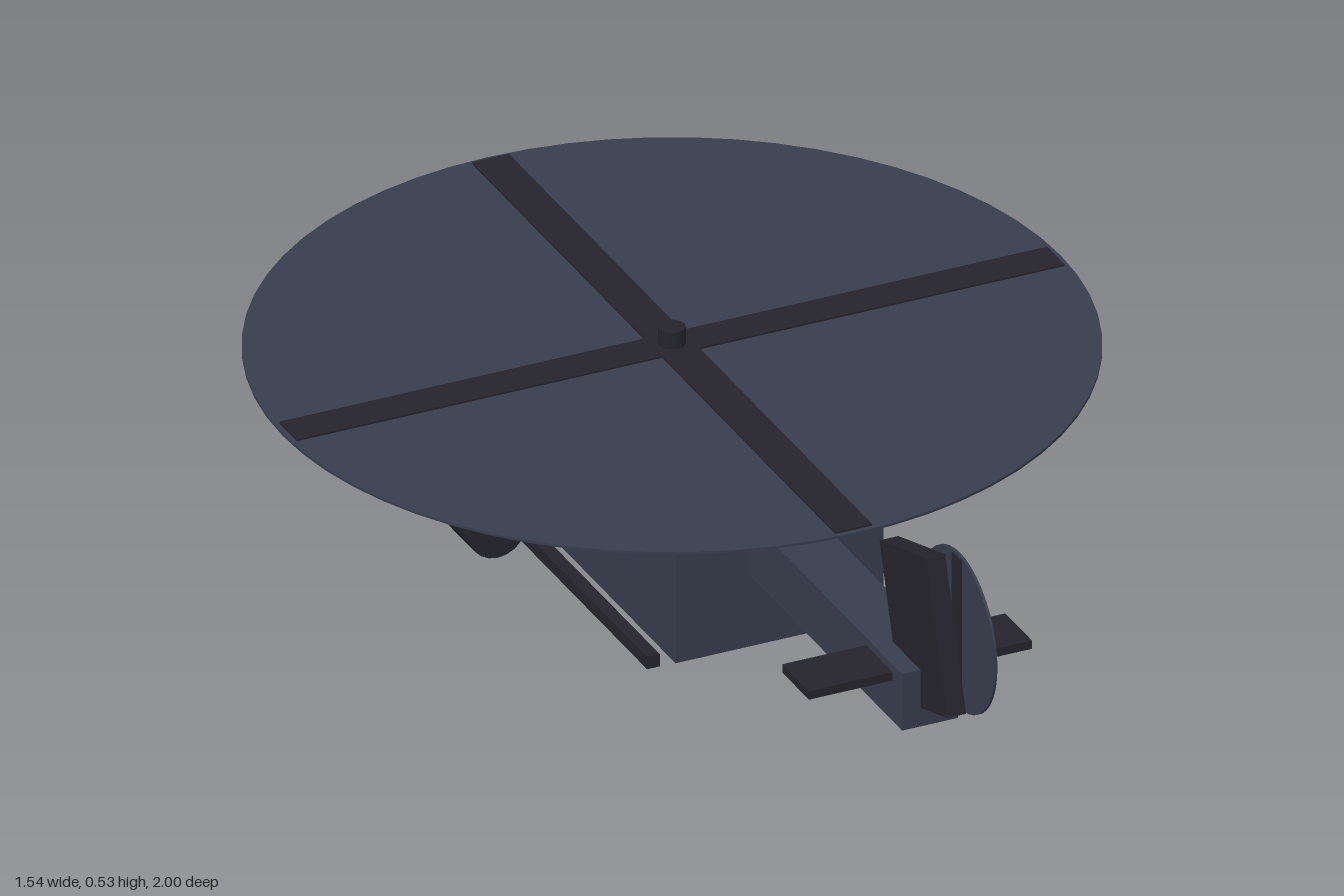
import * as THREE from 'three';

export function createModel() {
  const model = new THREE.Group();
  model.name = 'helicopter';

  const hull = new THREE.MeshStandardMaterial({ color: 0x383d4d });
  hull.name = 'slate hull';
  const dark = new THREE.MeshStandardMaterial({ color: 0x25242d });
  dark.name = 'dark trim';

  function add(name, geometry, material, x, y, z) {
    const mesh = new THREE.Mesh(geometry, material);
    mesh.name = name;
    mesh.position.set(x, y, z);
    model.add(mesh);
    return mesh;
  }

  // Box given by its lower and upper limits on each axis
  function box(name, material, [x0, x1], [y0, y1], [z0, z1]) {
    return add(name, new THREE.BoxGeometry(x1 - x0, y1 - y0, z1 - z0), material,
      (x0 + x1) / 2, (y0 + y1) / 2, (z0 + z1) / 2);
  }

  // Cylinder lying along z
  const rod = (r, length, sides) =>
    new THREE.CylinderGeometry(r, r, length, sides).rotateX(Math.PI / 2);

  // Fuselage, nose towards -z
  box('fuselage', hull, [-0.205, 0.205], [0.04, 0.337], [-0.605, 0.215]);
  box('nose', hull, [-0.172, 0.172], [0.05, 0.267], [-0.857, -0.6]);
  box('tailBoom', hull, [-0.055, 0.055], [0.18, 0.295], [0.21, 0.843]);
  box('engineCowling', dark, [-0.172, 0.172], [0.33, 0.413], [-0.43, 0.073]);
  add('noseSensor', rod(0.043, 0.07, 12), dark, 0, 0.088, -0.87);

  // Sloping windscreen slab
  const screen = add('windscreen', new THREE.BoxGeometry(0.31, 0.1, 0.36), dark, 0, 0.307, -0.572);
  screen.rotation.x = -0.21;

  // Main rotor: swept disc, crossed blades and hub
  const rotorZ = -0.233;
  add('rotorDisc', new THREE.CylinderGeometry(0.768, 0.768, 0.005, 64), hull, 0, 0.415, rotorZ);
  add('rotorBladeAcross', new THREE.BoxGeometry(1.515, 0.012, 0.073), dark, 0, 0.415, rotorZ);
  add('rotorBladeAlong', new THREE.BoxGeometry(0.073, 0.012, 1.515), dark, 0, 0.415, rotorZ);
  add('rotorHub', new THREE.CylinderGeometry(0.025, 0.025, 0.06, 12), dark, 0, 0.425, rotorZ);

  // Swept tail fin and stabiliser
  const fin = add('tailFin', new THREE.BoxGeometry(0.037, 0.295, 0.205), dark, 0, 0.363, 0.813);
  fin.rotation.x = -0.3;
  box('stabiliser', dark, [-0.22, 0.22], [0.262, 0.279], [0.692, 0.803]);

  // Tail rotor on the left side
  const tailDisc = new THREE.CylinderGeometry(0.156, 0.156, 0.005, 40).rotateZ(Math.PI / 2);
  add('tailRotorDisc', tailDisc, hull, 0.055, 0.362, 0.847);
  add('tailRotorBlade', new THREE.BoxGeometry(0.012, 0.3, 0.035), dark, 0.055, 0.362, 0.847);

  // Stub wings carry a pod on each side, with a skid below
  box('stubWings', dark, [-0.378, 0.378], [0.173, 0.208], [-0.38, -0.255]);
  for (const [side, s] of [['left', 1], ['right', -1]]) {
    add(side + 'Pod', rod(0.057, 0.248, 20), dark, s * 0.36, 0.143, -0.322);
    add(side + 'Skid', new THREE.BoxGeometry(0.025, 0.025, 0.757), dark, s * 0.219, 0.0155, -0.226);
  }

  return model;
}
